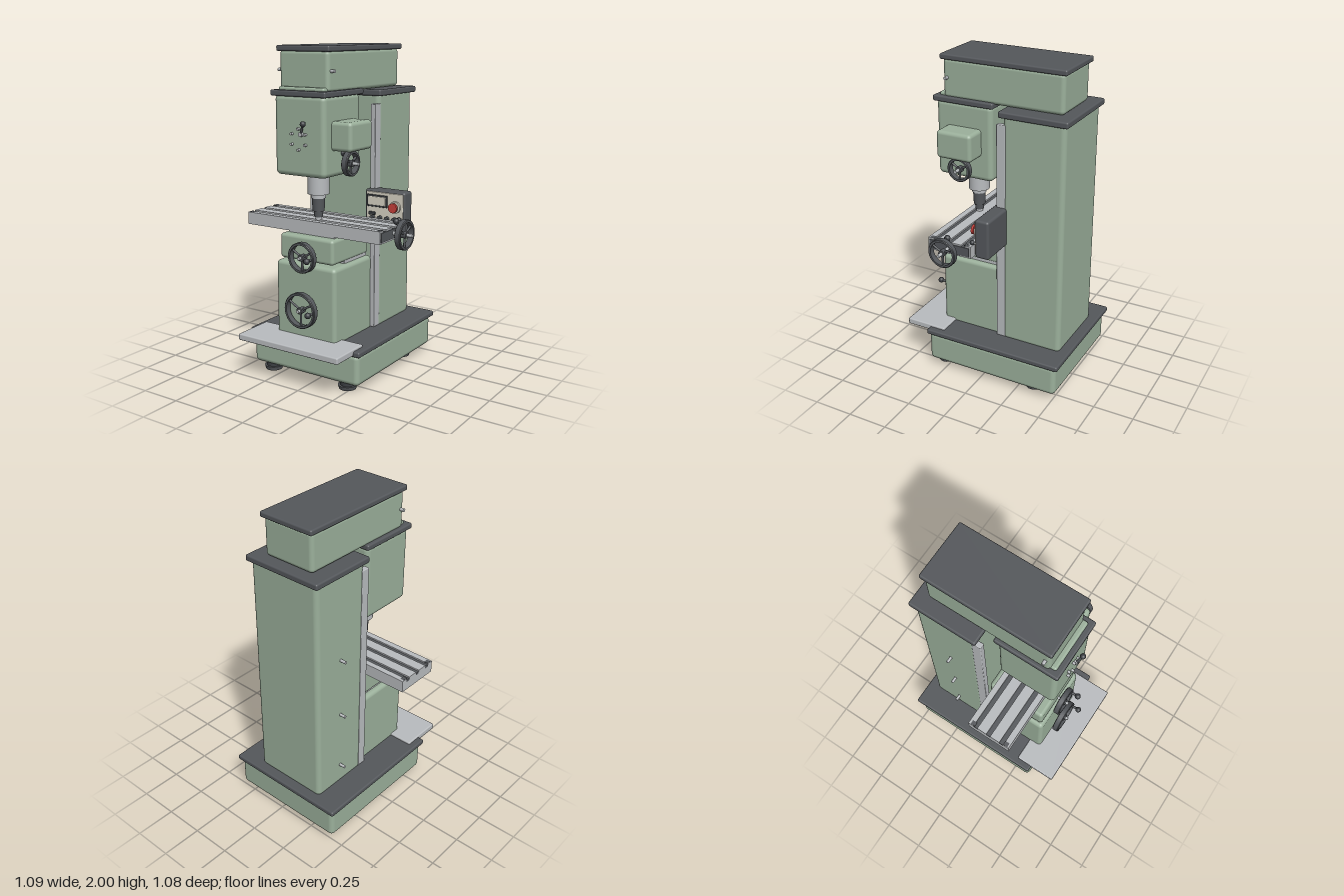
import * as THREE from 'three';
import { RoundedBoxGeometry } from 'three/addons/geometries/RoundedBoxGeometry.js';

const paint = (color) => new THREE.MeshStandardMaterial({ color });
const GREEN = paint(0x9bb09b), DARK = paint(0x54575b), STEEL = paint(0xb9bcbf);
const CREAM = paint(0xd9d4c6), RED = paint(0xc8403a), BLACK = paint(0x3c3f43);
const AXIS = -0.055; // centre line of the machine

function add(parent, name, geometry, material, x = 0, y = 0, z = 0) {
  const mesh = new THREE.Mesh(geometry, material);
  mesh.name = name;
  mesh.position.set(x, y, z);
  parent.add(mesh);
  return mesh;
}

// Rounded box given by its extents on each axis
function block(parent, name, material, [x0, x1], [y0, y1], [z0, z1], r = 0.01) {
  const g = new RoundedBoxGeometry(x1 - x0, y1 - y0, z1 - z0, 3, r);
  return add(parent, name, g, material, (x0 + x1) / 2, (y0 + y1) / 2, (z0 + z1) / 2);
}

// Cylinder along a chosen axis
function rod(parent, name, material, r, length, x, y, z, axis = 'y', rBottom = r) {
  const g = new THREE.CylinderGeometry(r, rBottom, length, 28);
  if (axis === 'x') g.rotateZ(-Math.PI / 2);
  if (axis === 'z') g.rotateX(Math.PI / 2);
  return add(parent, name, g, material, x, y, z);
}

// Straight round bar between two points
function bar(parent, name, material, r, a, b) {
  const path = new THREE.LineCurve3(new THREE.Vector3(...a), new THREE.Vector3(...b));
  return add(parent, name, new THREE.TubeGeometry(path, 1, r, 10), material);
}

// Three-spoked handwheel facing +z, with a crank knob at the given angle
function handwheel(parent, name, R, knobAngle) {
  const wheel = new THREE.Group();
  wheel.name = name;
  const h = 0.019, inner = R - 0.016, c = 0.004;
  const profile = [[inner, -h], [R - c, -h], [R, c - h], [R, h - c], [R - c, h], [inner, h], [inner, -h]]
    .map(([x, y]) => new THREE.Vector2(x, y));
  // separate bands keep the rim edges crisp
  for (let i = 0; i < profile.length - 1; i++) {
    const band = new THREE.LatheGeometry([profile[i], profile[i + 1]], 40);
    band.rotateX(Math.PI / 2);
    add(wheel, 'rim', band, DARK);
  }
  rod(wheel, 'hub', DARK, 0.02, 0.036, 0, 0, 0, 'z');
  rod(wheel, 'shaft', STEEL, 0.01, 0.09, 0, 0, -0.01, 'z');
  for (let i = 0; i < 3; i++) {
    const a = Math.PI / 6 + (i * Math.PI * 2) / 3;
    bar(wheel, 'spoke', DARK, 0.007, [0, 0, 0], [Math.cos(a) * (R - 0.01), Math.sin(a) * (R - 0.01), 0]);
  }
  const kx = Math.cos(knobAngle) * (R - 0.018), ky = Math.sin(knobAngle) * (R - 0.018);
  bar(wheel, 'crankPin', DARK, 0.008, [kx, ky, 0], [kx, ky, 0.05]);
  add(wheel, 'crankKnob', new THREE.SphereGeometry(0.019, 18, 12), BLACK, kx, ky, 0.058);
  parent.add(wheel);
  return wheel;
}

function buildBase(g) {
  block(g, 'base', GREEN, [-0.44, 0.33], [0.045, 0.24], [-0.52, 0.363], 0.03);
  block(g, 'basePlate', DARK, [-0.46, 0.345], [0.232, 0.266], [-0.54, 0.37], 0.01);
  block(g, 'chipTray', STEEL, [-0.42, 0.305], [0.24, 0.28], [0.265, 0.535], 0.008);
  for (const x of [-0.335, 0.22]) for (const z of [-0.335, 0.3]) {
    rod(g, 'footPad', DARK, 0.058, 0.024, x, 0.012, z, 'y', 0.052);
    rod(g, 'footNeck', BLACK, 0.045, 0.03, x, 0.037, z);
  }
}

function buildColumn(g) {
  block(g, 'column', GREEN, [-0.3, 0.185], [0.25, 1.72], [-0.48, -0.09], 0.03);
  block(g, 'columnCap', DARK, [-0.32, 0.205], [1.7, 1.738], [-0.5, -0.07], 0.01);
  for (const x of [-0.3, 0.15]) block(g, 'guideRail', STEEL, [x, x + 0.035], [0.266, 1.655], [-0.11, -0.05], 0.005);
  for (const y of [0.39, 0.775, 1.16]) rod(g, 'sideBolt', STEEL, 0.009, 0.05, -0.313, y, -0.285, 'x');
}

function buildKneeAndSaddle(g) {
  block(g, 'knee', GREEN, [-0.27, 0.16], [0.25, 0.727], [-0.06, 0.345], 0.025);
  block(g, 'kneeWay', STEEL, [-0.235, 0.13], [0.71, 0.755], [-0.045, 0.2], 0.004);
  block(g, 'saddle', GREEN, [-0.25, 0.135], [0.74, 0.892], [-0.055, 0.328], 0.02);
  block(g, 'saddleWay', STEEL, [-0.22, 0.11], [0.88, 0.912], [0, 0.275], 0.004);
  handwheel(g, 'saddleWheel', 0.093, 0).position.set(AXIS, 0.775, 0.37);
  handwheel(g, 'kneeWheel', 0.11, 0).position.set(AXIS, 0.455, 0.387);
}

function buildTable(g) {
  const x0 = -0.538, x1 = 0.422, top = 0.976, bottom = 0.9, z0 = -0.01, z1 = 0.277;
  const slots = [0.04, 0.132, 0.225], half = 0.014, depth = 0.022;
  // Cross-section drawn with shape x = -z, so it extrudes along +x after turning
  const s = new THREE.Shape();
  s.moveTo(-z1, bottom);
  s.lineTo(-z0, bottom);
  s.lineTo(-z0, top);
  for (const z of slots) {
    s.lineTo(-z + half, top);
    s.lineTo(-z + half, top - depth);
    s.lineTo(-z - half, top - depth);
    s.lineTo(-z - half, top);
  }
  s.lineTo(-z1, top);
  s.closePath();
  const geo = new THREE.ExtrudeGeometry(s, { depth: x1 - x0, bevelEnabled: false });
  geo.rotateY(Math.PI / 2);
  add(g, 'table', geo, STEEL, x0, 0, 0);
  const cx = (x0 + x1) / 2;
  for (const z of slots) {
    add(g, 'slotFloor', new THREE.BoxGeometry(x1 - x0, 0.014, half * 2), DARK, cx, top - 0.016, z);
  }
  // drain pockets at the table corners
  for (const x of [x0 + 0.016, x1 - 0.016]) for (const z of [0.02, 0.252]) {
    add(g, 'drainPocket', new THREE.BoxGeometry(0.026, 0.004, 0.03), DARK, x, top - 0.001, z);
  }
  block(g, 'tableEndPlate', DARK, [x1 - 0.01, x1 + 0.004], [0.908, 0.966], [0, 0.268], 0.003);
  rod(g, 'leadScrew', STEEL, 0.012, 0.08, 0.45, 0.94, 0.132, 'x');
  const wheel = handwheel(g, 'tableWheel', 0.089, Math.PI / 2);
  wheel.position.set(0.498, 0.94, 0.132);
  wheel.rotation.y = -Math.PI / 2;
  wheel.scale.z = 0.96;
}

function buildHead(g) {
  block(g, 'head', GREEN, [-0.235, 0.12], [1.258, 1.725], [0.015, 0.385], 0.03);
  block(g, 'headCap', DARK, [-0.25, 0.135], [1.715, 1.75], [0, 0.4], 0.01);
  block(g, 'armSeat', GREEN, [-0.215, 0.105], [1.735, 1.768], [0.02, 0.368], 0.012);
  block(g, 'arm', GREEN, [-0.23, 0.115], [1.738, 1.975], [-0.435, 0.337], 0.025);
  block(g, 'armCap', DARK, [-0.242, 0.128], [1.966, 2], [-0.452, 0.35], 0.01);
  for (const x of [-0.24, 0.125]) rod(g, 'armPin', STEEL, 0.01, 0.03, x, 1.86, 0.308, 'x');
  block(g, 'motorBox', GREEN, [0.1, 0.25], [1.412, 1.58], [0.083, 0.314], 0.022);

  // Speed selector on the front face
  for (let i = 0; i < 6; i++) {
    const a = Math.PI / 6 + (i * Math.PI) / 3;
    rod(g, 'speedMark', STEEL, 0.008, 0.03, AXIS + Math.cos(a) * 0.055, 1.475 + Math.sin(a) * 0.06, 0.388, 'z');
  }
  rod(g, 'selectorHub', STEEL, 0.013, 0.03, -0.035, 1.505, 0.392, 'z');
  bar(g, 'selectorLever', DARK, 0.007, [-0.035, 1.505, 0.398], [-0.005, 1.565, 0.416]);
  add(g, 'selectorKnob', new THREE.SphereGeometry(0.017, 18, 12), BLACK, -0.005, 1.567, 0.417);

  // Quill and spindle
  rod(g, 'quill', STEEL, 0.065, 0.14, AXIS, 1.202, 0.2);
  rod(g, 'quillNose', STEEL, 0.045, 0.03, AXIS, 1.122, 0.2);
  rod(g, 'chuck', DARK, 0.04, 0.085, AXIS, 1.07, 0.2, 'y', 0.036);
  rod(g, 'collet', DARK, 0.029, 0.04, AXIS, 1.012, 0.2, 'y', 0.026);
  rod(g, 'cutter', STEEL, 0.02, 0.025, AXIS, 0.985, 0.2);
  const wheel = handwheel(g, 'quillWheel', 0.075, Math.PI / 2);
  wheel.position.set(0.175, 1.333, 0.2);
  wheel.rotation.y = -Math.PI / 2;
}

function buildControlPanel(g) {
  block(g, 'panelBox', DARK, [0.13, 0.405], [0.905, 1.146], [-0.118, -0.028], 0.015);
  block(g, 'panelFace', CREAM, [0.143, 0.395], [0.918, 1.134], [-0.04, -0.023], 0.005);
  block(g, 'displayFrame', BLACK, [0.147, 0.29], [1.043, 1.117], [-0.03, -0.017], 0.004);
  block(g, 'display', CREAM, [0.157, 0.28], [1.053, 1.107], [-0.025, -0.015], 0.003);
  rod(g, 'stopCollar', CREAM, 0.036, 0.016, 0.345, 1.055, -0.018, 'z');
  rod(g, 'stopStem', RED, 0.02, 0.03, 0.345, 1.055, -0.008, 'z');
  rod(g, 'stopButton', RED, 0.029, 0.014, 0.345, 1.055, 0.008, 'z');
  block(g, 'powerSwitch', BLACK, [0.163, 0.207], [0.993, 1.012], [-0.03, -0.012], 0.004);
  for (let i = 0; i < 4; i++) rod(g, 'dial', DARK, 0.013, 0.022, 0.19 + i * 0.05, 0.98, -0.015, 'z');
  bar(g, 'feedLever', STEEL, 0.006, [0.383, 0.987, -0.03], [0.383, 0.987, 0]);
  add(g, 'feedKnob', new THREE.SphereGeometry(0.015, 18, 12), BLACK, 0.383, 0.987, 0);
}

export function createModel() {
  const model = new THREE.Group();
  model.name = 'millingMachine';
  const sections = {
    baseAssembly: buildBase, columnAssembly: buildColumn, kneeAssembly: buildKneeAndSaddle,
    tableAssembly: buildTable, headAssembly: buildHead, controlPanel: buildControlPanel,
  };
  for (const [name, build] of Object.entries(sections)) {
    const group = new THREE.Group();
    group.name = name;
    build(group);
    model.add(group);
  }
  return model;
}
